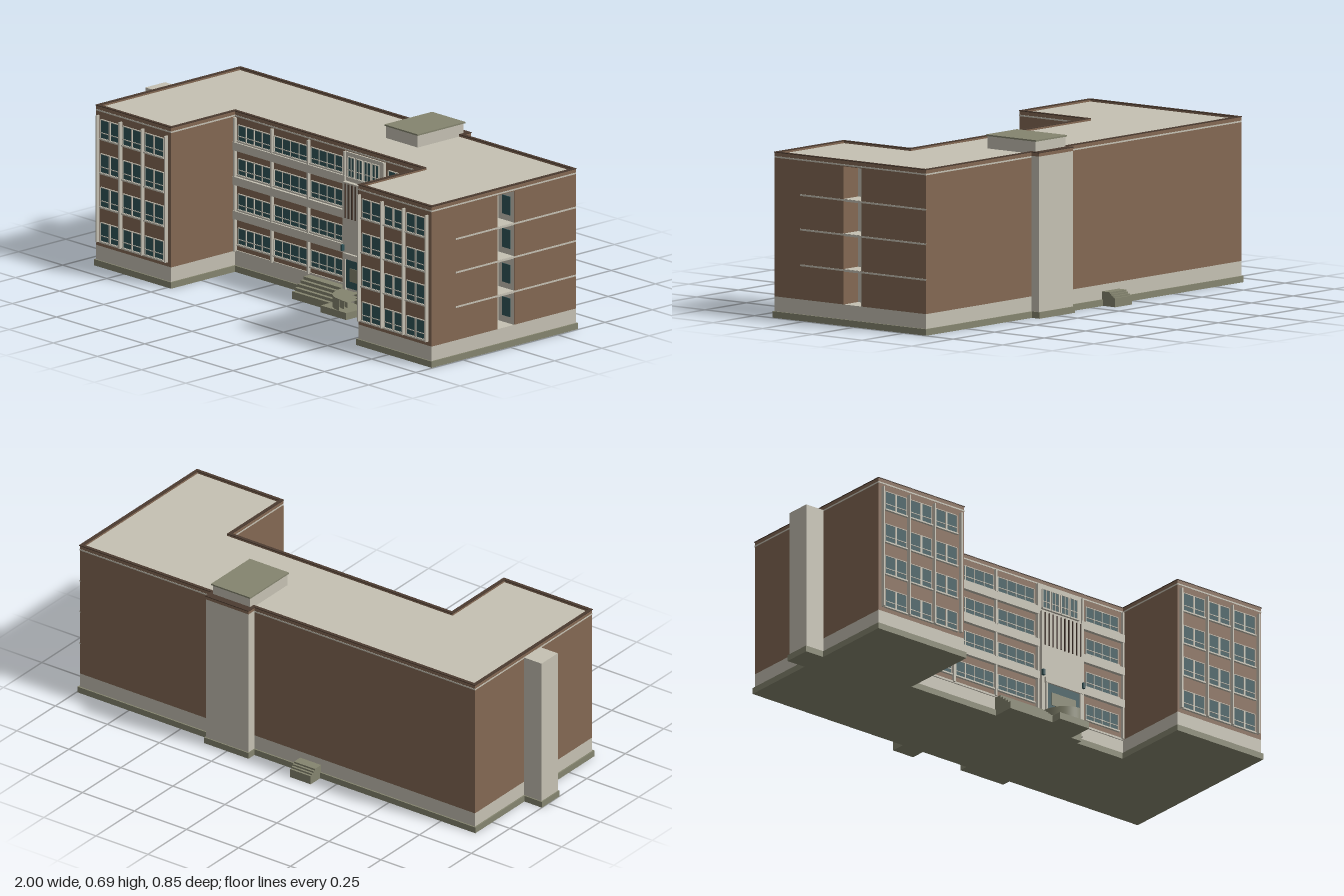
import * as THREE from 'three';

const mat = (name, color) => {
  const m = new THREE.MeshStandardMaterial({ color });
  m.name = name;
  return m;
};

export function createModel() {
  const root = new THREE.Group();
  root.name = 'building';
  const brick = mat('brick', 0x836853);
  const stone = mat('stone', 0xc5c1b3);
  const olive = mat('weathered concrete', 0x85856f);
  const glass = mat('teal glass', 0x2f5358);
  const dark = mat('dark trim', 0x4b3b30);

  // Box given by its extents
  const box = (name, m, x0, x1, y0, y1, z0, z1, parent = root) => {
    const mesh = new THREE.Mesh(new THREE.BoxGeometry(x1 - x0, y1 - y0, z1 - z0), m);
    mesh.position.set((x0 + x1) / 2, (y0 + y1) / 2, (z0 + z1) / 2);
    mesh.name = name;
    parent.add(mesh);
    return mesh;
  };

  // U-shaped plan, grown by e, optionally notched for the side recess
  const plan = (e, notch = false) => {
    const p = [
      [-0.91 - e, -0.355 - e], [-0.91 - e, 0.407 + e], [-0.485 + e, 0.407 + e], [-0.485 + e, 0.07 + e],
      [0.575 - e, 0.07 + e], [0.575 - e, 0.407 + e], [0.99 + e, 0.407 + e],
    ];
    if (notch) p.push([0.99, 0.06], [0.9, 0.06], [0.9, -0.03], [0.99, -0.03]);
    p.push([0.99 + e, -0.355 - e]);
    return p.map(([x, z]) => new THREE.Vector2(x, -z));
  };
  const storey = (name, m, y0, y1, e, notch, holeOffset) => {
    const shape = new THREE.Shape(plan(e, notch));
    if (holeOffset !== undefined) shape.holes.push(new THREE.Path(plan(holeOffset)));
    const g = new THREE.ExtrudeGeometry(shape, { depth: y1 - y0, bevelEnabled: false });
    g.rotateX(-Math.PI / 2);
    const mesh = new THREE.Mesh(g, m);
    mesh.position.y = y0;
    mesh.name = name;
    root.add(mesh);
  };

  // Main body, from the ground up
  storey('plinth', olive, 0, 0.025, 0.006);
  storey('stoneBase', stone, 0.025, 0.083, 0);
  storey('brickWalls', brick, 0.083, 0.622, 0, true);
  storey('upperWall', brick, 0.622, 0.634, 0);
  storey('roof', stone, 0.634, 0.638, -0.003);
  storey('parapet', brick, 0.634, 0.645, 0, false, -0.012);
  storey('coping', dark, 0.645, 0.648, 0.002, false, -0.012);
  storey('corniceLine', stone, 0.625, 0.631, 0.001, false, -0.01);

  // Side recess with landings and floor lines on the right wall
  box('recessBack', stone, 0.899, 0.903, 0.083, 0.622, -0.03, 0.06);
  box('recessSide', stone, 0.902, 0.989, 0.083, 0.622, -0.031, -0.028);
  for (const y of [0.217, 0.356, 0.491]) {
    box('recessLanding', stone, 0.9, 0.989, y - 0.006, y + 0.004, -0.03, 0.06);
    box('floorLine', stone, 0.985, 0.991, y - 0.004, y + 0.003, -0.355, 0.28);
  }
  for (const y of [0.11, 0.245, 0.385, 0.52])
    box('recessWindow', glass, 0.925, 0.97, y, y + 0.075, -0.03, -0.025);

  // Glazed window with frame, mullions and a transom
  const makeWindow = (x0, x1, y0, y1, z, panes, transom) => {
    const g = new THREE.Group();
    g.name = 'window';
    const t = 0.003, zf = z + 0.006;
    box('pane', glass, x0, x1, y0, y1, z - 0.002, z + 0.003, g);
    for (let i = 0; i <= panes; i++) {
      const x = x0 + ((x1 - x0) * i) / panes;
      box('mullion', stone, x - t / 2, x + t / 2, y0, y1, z, zf, g);
    }
    for (const y of [y0, y1, y0 + (y1 - y0) * transom])
      box('rail', stone, x0, x1, y - t / 2, y + t / 2, z, zf, g);
    box('sill', stone, x0 - 0.004, x1 + 0.004, y0 - 0.006, y0, z, z + 0.01, g);
    root.add(g);
  };

  // Wing fronts: window grid between projecting fins
  const rows = [[0.105, 0.18], [0.245, 0.322], [0.382, 0.457], [0.52, 0.595]];
  const wings = [
    { bays: [[-0.88, -0.775], [-0.755, -0.65], [-0.63, -0.525]], fins: [-0.893, -0.765, -0.64, -0.507] },
    { bays: [[0.6, 0.705], [0.727, 0.828], [0.852, 0.955]], fins: [0.587, 0.716, 0.84, 0.97] },
  ];
  for (const { bays, fins } of wings) {
    for (const [x0, x1] of bays)
      for (const [y0, y1] of rows) {
        makeWindow(x0, x1, y0, y1, 0.407, 2, 0.3);
        box('centreMullion', stone, (x0 + x1) / 2 - 0.004, (x0 + x1) / 2 + 0.004, y0, y1, 0.407, 0.414);
      }
    for (const x of fins) box('fin', stone, x - 0.003, x + 0.003, 0.1, 0.61, 0.405, 0.423);
  }

  // Central front: ribbon windows, stone sill bands and piers
  const mainBays = [[-0.462, -0.28], [-0.258, -0.072], [-0.05, 0.13], [0.388, 0.548]];
  const mainRows = [[0.115, 0.18], [0.255, 0.317], [0.395, 0.46], [0.532, 0.595]];
  for (const [x0, x1] of mainBays)
    for (const [y0, y1] of mainRows) makeWindow(x0, x1, y0, y1, 0.07, 4, 0.3);
  for (const [x0, x1] of [[-0.484, 0.152], [0.36, 0.574]]) {
    for (const y of [0.215, 0.353, 0.492]) box('sillBand', stone, x0, x1, y, y + 0.033, 0.068, 0.085);
    box('lowerBand', stone, x0, x1, 0.08, 0.088, 0.068, 0.075);
  }
  for (const x of [-0.478, -0.269, -0.061, 0.146, 0.367, 0.569])
    box('pier', stone, x - 0.004, x + 0.004, 0.083, 0.622, 0.068, 0.083);

  // Entrance bay with grille, upper windows and doorway
  box('entranceBay', stone, 0.152, 0.36, 0.025, 0.505, 0.068, 0.095);
  box('entranceUpperWall', stone, 0.152, 0.36, 0.505, 0.622, 0.068, 0.078);
  for (let i = 0; i < 4; i++) {
    const x = 0.167 + i * 0.046;
    makeWindow(x, x + 0.036, 0.525, 0.605, 0.078, 2, 0.35);
  }
  for (let i = 0; i < 10; i++) {
    const x = 0.168 + i * 0.0195;
    box('grilleSlot', dark, x - 0.002, x + 0.002, 0.362, 0.5, 0.094, 0.1);
  }
  box('doorGlass', glass, 0.175, 0.338, 0.083, 0.2, 0.094, 0.098);
  box('doorPanel', olive, 0.198, 0.318, 0.112, 0.165, 0.097, 0.101);
  for (const x of [0.168, 0.338]) box('doorFrame', stone, x, x + 0.007, 0.075, 0.207, 0.094, 0.104);
  box('doorLintel', stone, 0.165, 0.348, 0.2, 0.222, 0.094, 0.106);
  for (const x of [0.156, 0.356]) box('wallLamp', glass, x - 0.005, x + 0.005, 0.228, 0.252, 0.094, 0.106);

  // Broad front steps beside the entrance
  for (let i = 0; i < 5; i++)
    box('frontStep', olive, -0.06, 0.152, 0, 0.078 - i * 0.012, 0.068, 0.105 + i * 0.015);

  // Entrance landing with a curved upper step
  box('entranceSlab', olive, 0.15, 0.295, 0, 0.028, 0.068, 0.21);
  box('entranceLanding', olive, 0.225, 0.345, 0, 0.075, 0.068, 0.1);
  [[0.07, 0.045], [0.05, 0.06], [0.035, 0.07]].forEach(([r, h]) => {
    const height = 0.12 - h;
    const step = new THREE.Mesh(
      new THREE.CylinderGeometry(r + 0.06 - h / 2, r + 0.06 - h / 2, height, 20, 1, false, -Math.PI / 2, Math.PI / 2),
      olive);
    step.material.side = THREE.DoubleSide;
    step.position.set(0.22 + 0.03, height / 2, 0.1);
    step.scale.set(0.9, 1, 1);
    step.name = 'curvedStep';
    root.add(step);
  });

  // Rear shaft and roof penthouse
  box('rearShaft', stone, 0.15, 0.355, 0.025, 0.632, -0.394, -0.35);
  box('rearShaftPlinth', olive, 0.146, 0.359, 0, 0.025, -0.399, -0.35);
  box('rearShaftCap', brick, 0.15, 0.355, 0.632, 0.645, -0.394, -0.354);
  box('rearShaftCoping', dark, 0.148, 0.357, 0.645, 0.648, -0.396, -0.354);
  box('penthouse', stone, 0.163, 0.342, 0.634, 0.687, -0.366, -0.124);
  box('penthouseRoof', olive, 0.159, 0.347, 0.687, 0.693, -0.371, -0.119);

  // Chimney on the left end wall
  box('chimney', stone, -0.995, -0.905, 0.025, 0.63, -0.037, 0.068);
  box('chimneyPlinth', olive, -1, -0.905, 0, 0.025, -0.042, 0.073);

  // Rear steps
  for (let i = 0; i < 4; i++)
    box('rearStep', olive, -0.17, -0.07, 0, 0.056 - i * 0.007, -0.395 - i * 0.009, -0.35);

  return root;
}
